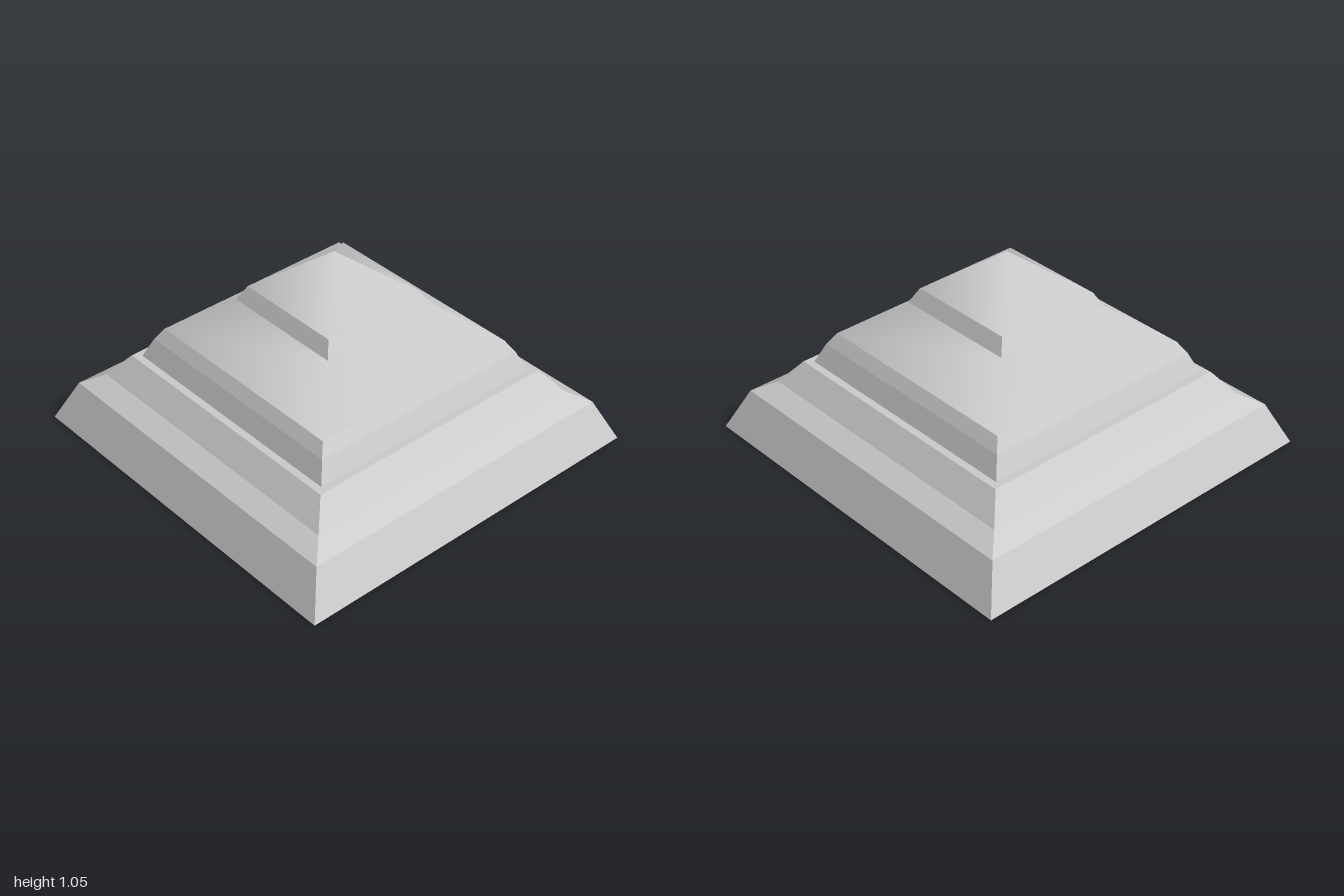
import * as THREE from 'three';

const flat = new THREE.MeshStandardMaterial({ color: 0xcccccc, flatShading: true });
const smooth = new THREE.MeshStandardMaterial({ color: 0xcccccc });

// Square frustum between two levels, given as [half width, height].
function frustum(name, [w0, y0], [w1, y1], material, open = true) {
  const geometry = new THREE.CylinderGeometry(
    w1 * Math.SQRT2, w0 * Math.SQRT2, y1 - y0, 4, 1, open, Math.PI / 4);
  geometry.translate(0, (y0 + y1) / 2, 0);
  const mesh = new THREE.Mesh(geometry, material);
  mesh.name = name;
  return mesh;
}

// Stack of flat-sided frustums following a profile.
function tier(name, profile) {
  const group = new THREE.Group();
  group.name = name;
  for (let i = 0; i < profile.length - 1; i++) {
    group.add(frustum(`${name}Step${i + 1}`, profile[i], profile[i + 1], flat));
  }
  return group;
}

// Horizontal square closing a tier, facing up or down.
function slab(name, w, y, up) {
  const geometry = new THREE.PlaneGeometry(2 * w, 2 * w);
  geometry.rotateX(up ? -Math.PI / 2 : Math.PI / 2);
  geometry.translate(0, y, 0);
  const mesh = new THREE.Mesh(geometry, flat);
  mesh.name = name;
  return mesh;
}

export function createModel() {
  const model = new THREE.Group();
  model.name = 'steppedPyramid';

  // Broad base with a narrow ledge on top
  model.add(slab('underside', 1, 0, false));
  model.add(tier('base', [[1, 0], [0.9, 0.22], [0.8, 0.28], [0.705, 0.402]]));
  model.add(slab('ledge', 0.705, 0.402, true));

  // Middle tier and its softly shaded roof
  model.add(tier('middleWall', [[0.667, 0.402], [0.622, 0.507], [0.583, 0.57]]));
  model.add(frustum('middleRoof', [0.583, 0.57], [0.333, 0.758], smooth));

  // Top tier and its pointed cap
  model.add(tier('topWall', [[0.333, 0.758], [0.292, 0.836]]));
  model.add(frustum('cap', [0.292, 0.836], [0, 1.052], smooth));

  return model;
}
